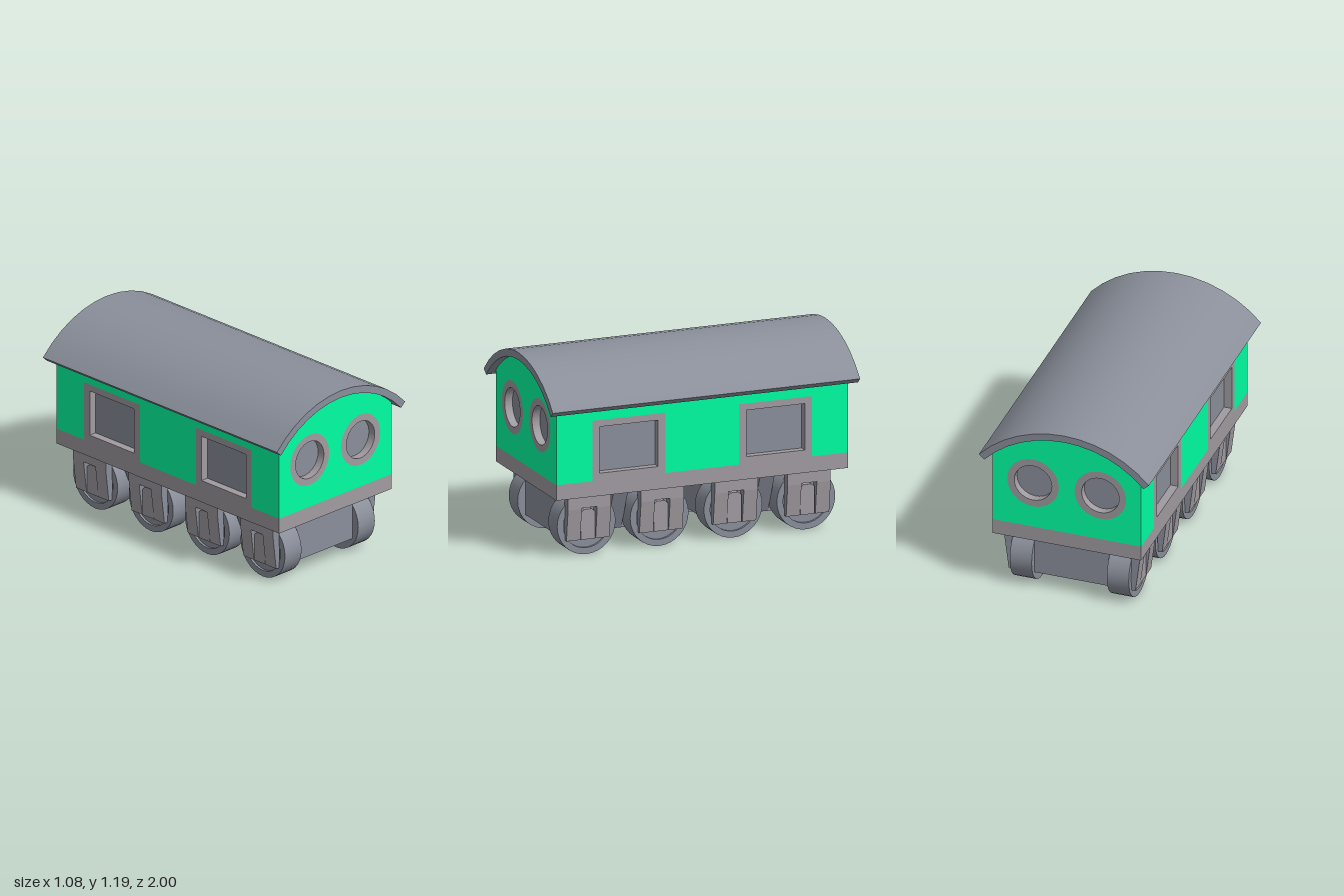
import * as THREE from 'three';
import { toCreasedNormals } from 'three/addons/utils/BufferGeometryUtils.js';

const slate = new THREE.MeshStandardMaterial({ color: 0x8a8f9a });
const green = new THREE.MeshStandardMaterial({ color: 0x00ffa2 });
const trim = new THREE.MeshStandardMaterial({ color: 0xa09ba0 });

const HALF_W = 0.475, HALF_L = 0.95, FLOOR = 0.48, WALL = 0.05;
const ARC_Y = 0.456, ARC_R = 0.689, ROOF_R = 0.735; // roof curve centre and radii

function add(parent, name, geometry, material, x = 0, y = 0, z = 0) {
  const mesh = new THREE.Mesh(geometry, material);
  mesh.name = name;
  mesh.position.set(x, y, z);
  parent.add(mesh);
  return mesh;
}

const box = (w, h, d) => new THREE.BoxGeometry(w, h, d);

function polygon(points) {
  return new THREE.Shape(points.map(([x, y]) => new THREE.Vector2(x, y)));
}

function rect(x0, x1, y0, y1) {
  return polygon([[x0, y0], [x1, y0], [x1, y1], [x0, y1]]);
}

function circle(x, y, r) {
  return new THREE.Shape().absarc(x, y, r, 0, Math.PI * 2);
}

function extrude(shape, depth, crease = 0.6) {
  const geometry = new THREE.ExtrudeGeometry(shape, { depth, bevelEnabled: false, curveSegments: 16 });
  return toCreasedNormals(geometry, crease);
}

// Extrusion facing +x, with its back at the given x
function extrudeX(shape, depth, x) {
  return extrude(shape, depth).rotateY(Math.PI / 2).translate(x, 0, 0);
}

// Points along the roof curve from right to left
function arc(radius, angle, n = 12) {
  return Array.from({ length: n + 1 }, (_, i) => {
    const a = angle * (1 - (2 * i) / n);
    return [radius * Math.sin(a), ARC_Y + radius * Math.cos(a)];
  });
}

// Curved end wall with two round windows
function makeEnd() {
  const end = new THREE.Group();
  const wall = polygon([[-HALF_W, FLOOR], [HALF_W, FLOOR], ...arc(ARC_R, Math.asin(HALF_W / ARC_R))]);
  for (const x of [-0.215, 0.215]) {
    wall.holes.push(circle(x, 0.787, 0.165));
    const ring = circle(x, 0.787, 0.165);
    ring.holes.push(circle(x, 0.787, 0.12));
    add(end, 'roundWindowFrame', extrude(ring, WALL), trim, 0, 0, HALF_L - WALL);
    const pane = new THREE.CylinderGeometry(0.14, 0.14, 0.01, 32).rotateX(Math.PI / 2);
    add(end, 'roundWindowPane', pane, slate, x, 0.787, HALF_L - WALL - 0.005);
  }
  add(end, 'endWall', extrude(wall, WALL), green, 0, 0, HALF_L - WALL);
  return end;
}

// Long wall with two square windows
function makeSide() {
  const side = new THREE.Group();
  const l = HALF_L - WALL, top = 0.955, frameTop = 0.857;
  const wall = polygon([
    [-l, FLOOR], [-0.715, FLOOR], [-0.715, frameTop], [-0.24, frameTop], [-0.24, FLOOR],
    [0.24, FLOOR], [0.24, frameTop], [0.715, frameTop], [0.715, FLOOR], [l, FLOOR], [l, top], [-l, top],
  ]);
  add(side, 'sideWall', extrudeX(wall, WALL, HALF_W - WALL), green);
  for (const z of [-0.4775, 0.4775]) {
    const frame = rect(z - 0.2375, z + 0.2375, FLOOR, frameTop);
    frame.holes.push(rect(z - 0.19, z + 0.19, 0.525, 0.815));
    add(side, 'squareWindowFrame', extrudeX(frame, WALL, HALF_W - WALL), trim);
    add(side, 'squareWindowPane', box(0.01, 0.32, 0.41), slate, HALF_W - WALL - 0.005, 0.67, z);
  }
  return side;
}

// Wheel with a shallow recess in its outer face, axis along x
const wheelProfile = [[0, 0.24], [0.19, 0.24], [0.19, 0.38], [0.15, 0.38], [0.15, 0.365], [0, 0.365]];
const wheelGeometry = toCreasedNormals(
  new THREE.LatheGeometry(wheelProfile.map(([r, y]) => new THREE.Vector2(r, y)), 32), 0.6
).rotateZ(-Math.PI / 2);

// Axle guard leg: leans inward towards the bottom
const legGeometry = extrude(polygon([
  [0.375, 0.1], [0.405, 0.1], [0.43, 0.3], [0.43, 0.385], [0.375, 0.385],
]), 0.09, 0.05);

// Axle box with chamfered top corners
const axleBoxGeometry = extrudeX(polygon([
  [-0.046, 0.1], [0.046, 0.1], [0.046, 0.27], [0.025, 0.288], [-0.025, 0.288], [-0.046, 0.27],
]), 0.04, 0.365);

function makeWheelSet(z) {
  const set = new THREE.Group();
  set.name = 'wheelSet';
  set.position.z = z;
  for (const turn of [0, Math.PI]) {
    const half = new THREE.Group();
    half.name = 'wheelAndGuard';
    half.rotation.y = turn;
    add(half, 'wheel', wheelGeometry, slate, 0, 0.19, 0);
    add(half, 'guardLeg', legGeometry, [slate, trim], 0, 0, -0.14);
    add(half, 'guardLeg', legGeometry, [slate, trim], 0, 0, 0.05);
    add(half, 'guardHeader', box(0.055, 0.08, 0.1), trim, 0.4025, 0.345, 0);
    add(half, 'axleBox', axleBoxGeometry, trim);
    set.add(half);
  }
  return set;
}

// Sloping cross member that fills the gap between neighbouring wheels
const crossMemberGeometry = extrude(polygon([[-0.24, 0.1], [0.24, 0.1], [0.36, 0.385], [-0.36, 0.385]]), 0.095);

export function createModel() {
  const model = new THREE.Group();
  model.name = 'railwayCarriage';

  // Body
  add(model, 'floorFrame', box(HALF_W * 2, 0.097, HALF_L * 2), trim, 0, 0.4315, 0);
  for (const turn of [0, Math.PI]) {
    const end = makeEnd(), side = makeSide();
    end.name = turn ? 'backEnd' : 'frontEnd';
    side.name = turn ? 'rightSide' : 'leftSide';
    end.rotation.y = side.rotation.y = turn;
    model.add(end, side);
  }

  // Curved roof overhanging all round
  const angle = 0.83;
  const roof = polygon([...arc(ROOF_R, angle), ...arc(ARC_R, angle).reverse()]);
  add(model, 'roof', extrude(roof, 2), slate, 0, 0, -1);

  // Two bogies with two wheel sets each
  for (const z of [-0.4775, 0.4775]) {
    const bogie = new THREE.Group();
    bogie.name = z > 0 ? 'frontBogie' : 'backBogie';
    bogie.position.z = z;
    add(bogie, 'bogieFrame', box(0.48, 0.285, 0.755), slate, 0, 0.2425, 0);
    add(bogie, 'crossMember', crossMemberGeometry, slate, 0, 0, -0.0475);
    bogie.add(makeWheelSet(-0.2375), makeWheelSet(0.2375));
    model.add(bogie);
  }
  return model;
}
